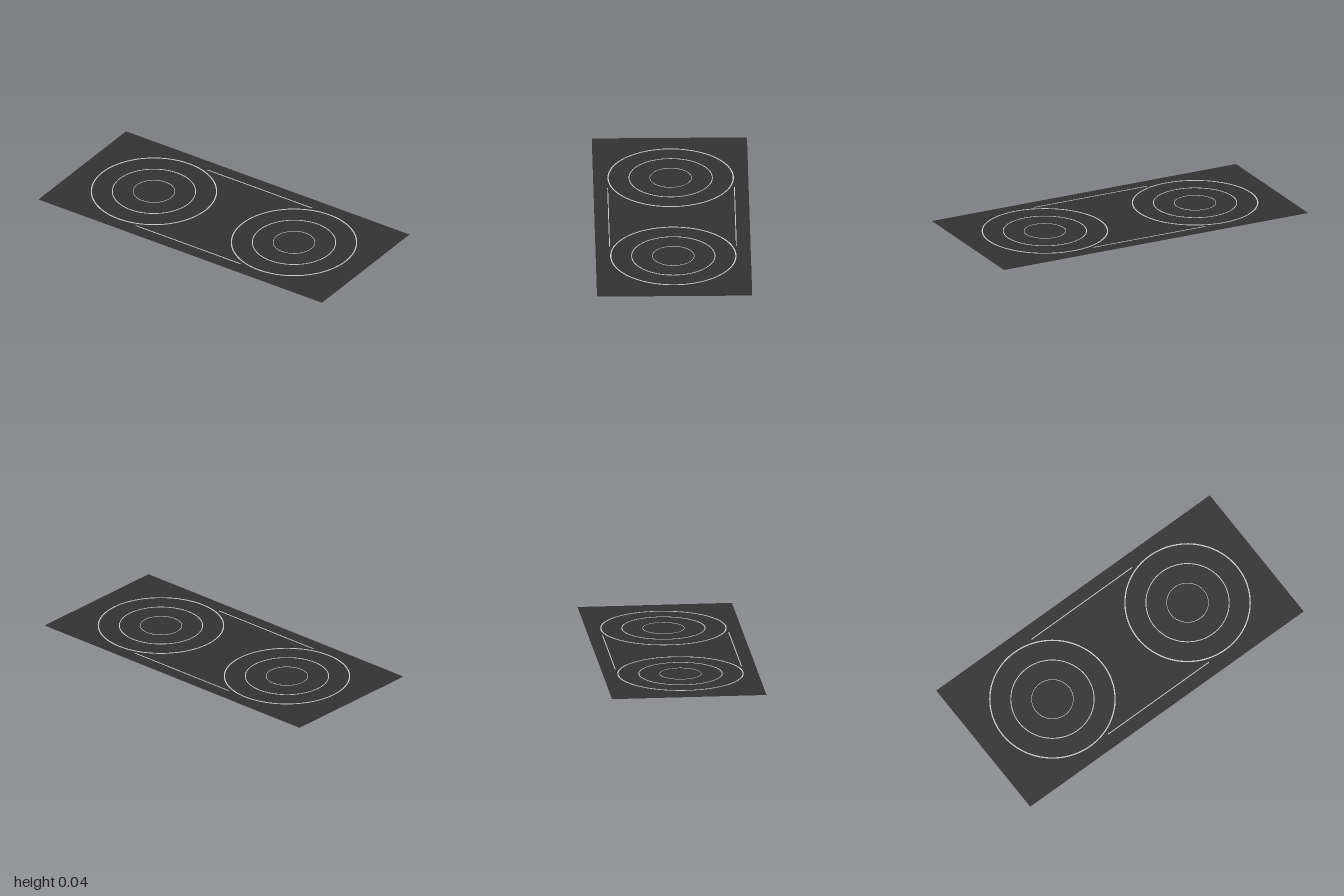
import * as THREE from 'three';

const TOP = 0.04;      // upper rim of the rings
const PLATE_Y = 0.038; // height of the thin plate
const CENTRE_X = 0.494;
const grey = new THREE.MeshStandardMaterial({ color: 0xcccccc, side: THREE.DoubleSide });
const dark = new THREE.MeshStandardMaterial({ color: 0x333333, side: THREE.DoubleSide });

function part(name, geometry, material, x, y, z) {
  const mesh = new THREE.Mesh(geometry, material);
  mesh.name = name;
  mesh.position.set(x, y, z);
  return mesh;
}

// Thin upright ring with smooth walls and crisp rims
function ringGeometry(radius, thickness) {
  const outline = new THREE.Shape().absarc(0, 0, radius, 0, Math.PI * 2);
  outline.holes.push(new THREE.Path().absarc(0, 0, radius - thickness, 0, Math.PI * 2, true));
  return new THREE.ExtrudeGeometry(outline, { depth: TOP, bevelEnabled: false, curveSegments: 96 })
    .rotateX(-Math.PI / 2);
}

export function createModel() {
  const model = new THREE.Group();
  model.name = 'twinRingPlate';

  // Dark plate
  model.add(part('plate', new THREE.PlaneGeometry(2, 0.904).rotateX(-Math.PI / 2), dark, 0, PLATE_Y, 0));

  // Three concentric rings on each side
  const rings = [['outerRing', 0.368, 0.007], ['middleRing', 0.245, 0.005], ['innerRing', 0.123, 0.003]];
  for (const side of [-1, 1]) {
    const set = new THREE.Group();
    set.name = side > 0 ? 'leftRings' : 'rightRings';
    set.position.x = side * CENTRE_X;
    for (const [name, radius, thickness] of rings) {
      set.add(part(name, ringGeometry(radius, thickness), grey, 0, 0, 0));
    }
    model.add(set);
  }

  // Disc closing the underside of the left rings
  model.add(part('bottomDisc', new THREE.CircleGeometry(0.367, 96).rotateX(Math.PI / 2), grey, CENTRE_X, 0.0005, 0));

  // Straight strips along front and back
  for (const side of [-1, 1]) {
    model.add(part(side > 0 ? 'frontStrip' : 'backStrip',
      new THREE.BoxGeometry(0.738, 0.004, 0.005), grey, 0, TOP - 0.002, side * 0.369));
  }
  return model;
}
